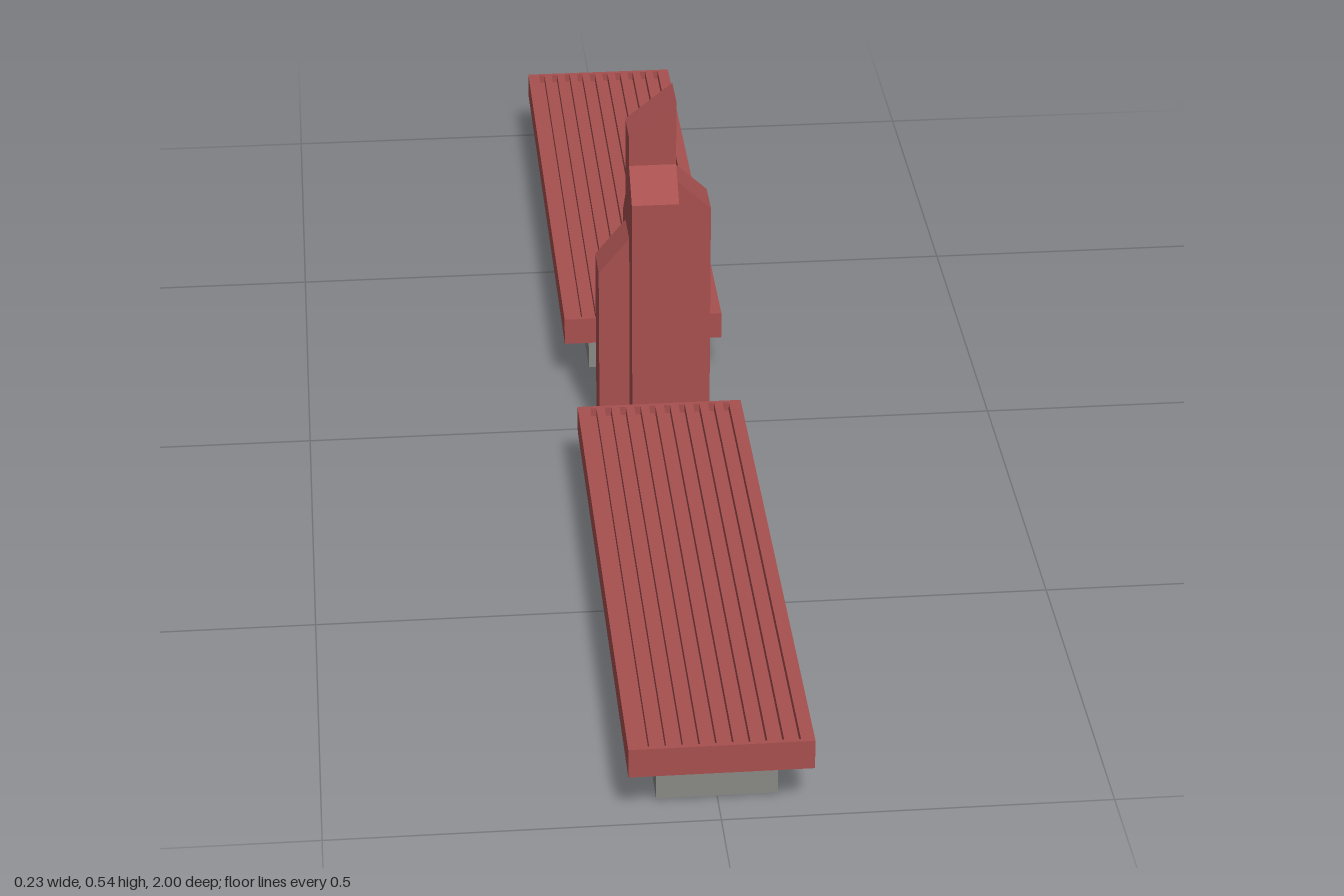
import * as THREE from 'three';

const red = new THREE.MeshStandardMaterial({ color: 0xa85050 });
red.name = 'brick red';
const grey = new THREE.MeshStandardMaterial({ color: 0x888885 });
grey.name = 'stone grey';

function named(name, geometry, material) {
  const mesh = new THREE.Mesh(geometry, material);
  mesh.name = name;
  return mesh;
}

// Box given by its min and max corners
function boxGeometry([x0, y0, z0], [x1, y1, z1]) {
  const geometry = new THREE.BoxGeometry(x1 - x0, y1 - y0, z1 - z0);
  return geometry.translate((x0 + x1) / 2, (y0 + y1) / 2, (z0 + z1) / 2);
}

// Box without its top face; inward turns the faces to the inside
function openBox(min, max, inward) {
  const geometry = boxGeometry(min, max);
  const index = Array.from(geometry.index.array);
  index.splice(12, 6);
  geometry.clearGroups();
  geometry.setIndex(inward ? index.reverse() : index);
  const flat = geometry.toNonIndexed();
  flat.computeVertexNormals();
  return flat;
}

// Upright pillar whose top slopes along one axis, from height hMin to hMax
function slopedPillar(name, [x0, x1], [z0, z1], axis, hMin, hMax) {
  const geometry = boxGeometry([x0, 0, z0], [x1, 1, z1]);
  const pos = geometry.attributes.position;
  const middle = axis === 'x' ? (x0 + x1) / 2 : (z0 + z1) / 2;
  for (let i = 0; i < pos.count; i++) {
    if (pos.getY(i) < 0.5) continue;
    const along = axis === 'x' ? pos.getX(i) : pos.getZ(i);
    pos.setY(i, along < middle ? hMin : hMax);
  }
  const flat = geometry.toNonIndexed();
  flat.computeVertexNormals();
  return named(name, flat, red);
}

// Rectangle outline, with z turned into the shape's -y
function rectangle(path, x0, x1, z0, z1) {
  path.moveTo(x0, -z0).lineTo(x1, -z0).lineTo(x1, -z1).lineTo(x0, -z1).closePath();
  return path;
}

// Grooved bench on two feet, reaching from z = 0.133 to z = 1
function createBench(name, side) {
  const bench = new THREE.Group();
  bench.name = name;
  const span = (a, b) => (side > 0 ? [a, b] : [-b, -a]);
  const bottom = 0.071, top = 0.112, floor = 0.099, half = 0.117;
  const [s0, s1] = span(0.132, 1);
  bench.add(named('seatBody', openBox([-half, bottom, s0], [half, top, s1], false), red));

  // Long grooves cut into the top
  const outline = rectangle(new THREE.Shape(), -half, half, s0, s1);
  const count = 10, pitch = 0.0211, width = 0.009;
  const [g0, g1] = span(0.138, 0.994);
  for (let i = 0; i < count; i++) {
    const x0 = (i - (count - 1) / 2) * pitch - width / 2;
    const x1 = x0 + width;
    outline.holes.push(rectangle(new THREE.Path(), x0, x1, g0, g1));
    bench.add(named('groove', openBox([x0, floor, g0], [x1, top, g1], true), red));
  }
  const slats = new THREE.ShapeGeometry(outline);
  slats.rotateX(-Math.PI / 2).translate(0, top, 0);
  bench.add(named('seatTop', slats, red));

  // Feet
  for (const z of [0.18, 0.847]) {
    const [f0, f1] = span(z, z + 0.104);
    bench.add(named('foot', boxGeometry([-0.078, 0.003, f0], [0.077, bottom, f1]), grey));
  }
  return bench;
}

export function createModel() {
  const model = new THREE.Group();
  model.name = 'benchesWithTower';

  // Tower of five pillars in a cross plan
  const tower = new THREE.Group();
  tower.name = 'tower';
  const X = [-0.034, 0.033], Z = [-0.031, 0.031];
  tower.add(
    slopedPillar('centrePillar', X, Z, 'x', 0.487, 0.54),
    slopedPillar('leftPillar', [X[1], 0.083], Z, 'x', 0.416, 0.37),
    slopedPillar('rightPillar', [-0.078, X[0]], Z, 'x', 0.273, 0.326),
    slopedPillar('frontPillar', X, [Z[1], 0.078], 'z', 0.442, 0.402),
    slopedPillar('backPillar', X, [-0.074, Z[0]], 'z', 0.323, 0.368),
  );
  model.add(tower);

  // Benches in front of and behind the tower
  model.add(createBench('frontBench', 1), createBench('backBench', -1));
  return model;
}
